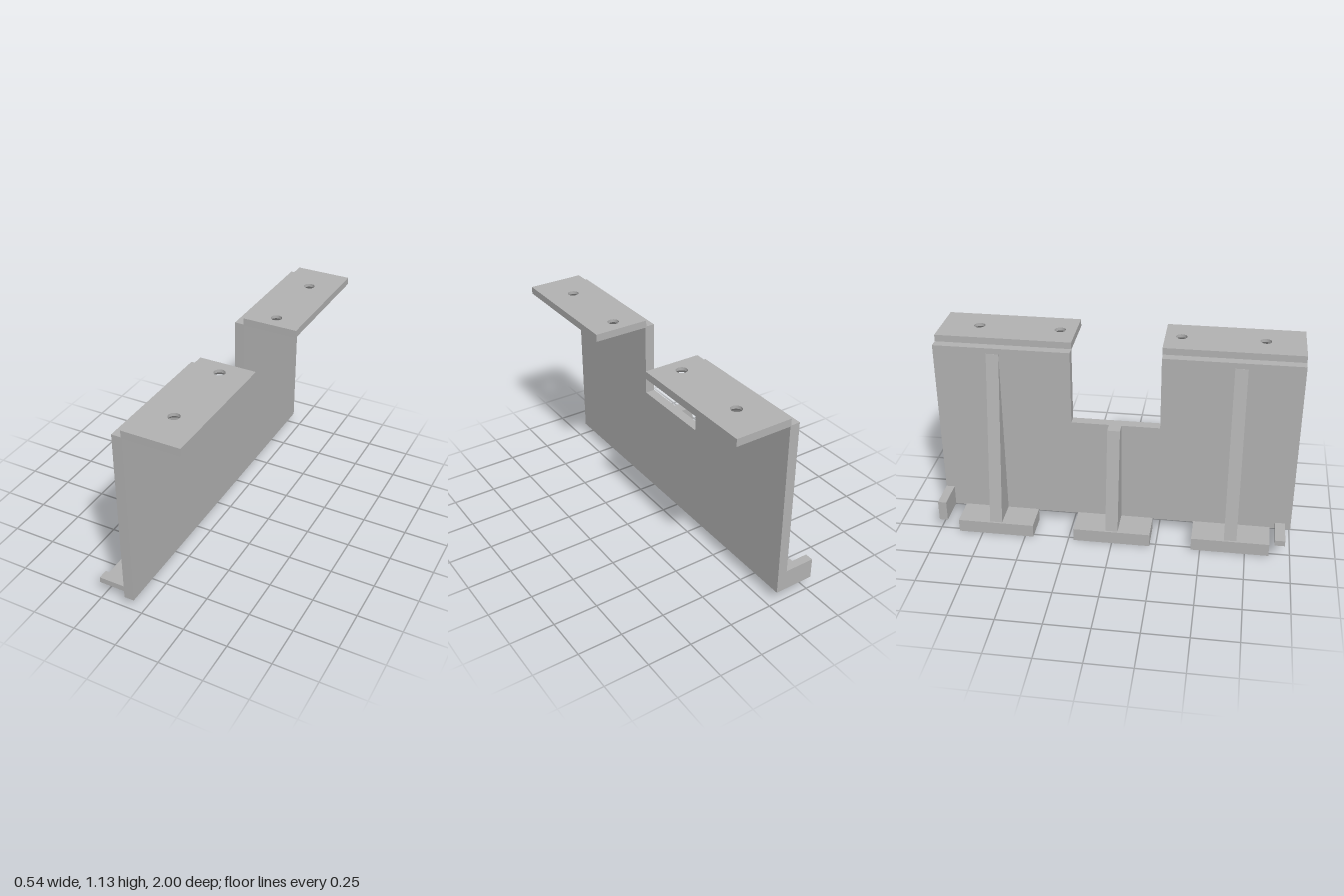
import * as THREE from 'three';

export function createModel() {
  const group = new THREE.Group();
  const grey = new THREE.MeshStandardMaterial({ color: 0xb2b2b2, side: THREE.DoubleSide });
  grey.name = 'grey';

  const add = (name, geometry) => {
    const mesh = new THREE.Mesh(geometry, grey);
    mesh.name = name;
    group.add(mesh);
    return mesh;
  };
  const box = (name, x0, x1, y0, y1, z0, z1) =>
    add(name, new THREE.BoxGeometry(x1 - x0, y1 - y0, z1 - z0))
      .position.set((x0 + x1) / 2, (y0 + y1) / 2, (z0 + z1) / 2);
  const polygon = (points) => new THREE.Shape(points.map(([x, y]) => new THREE.Vector2(x, y)));
  const extrude = (shape, depth) =>
    new THREE.ExtrudeGeometry(shape, { depth, bevelEnabled: false, curveSegments: 16 });

  const wallBack = -0.1, wallFront = -0.044, footBack = -0.272;
  const wallBase = 0.07, wallTop = 1.092, notchY = 0.672, notchZ = 0.246;
  const footTop = 0.075;

  // Upright wall with a notch in its top edge, drawn in (z, y)
  const wall = extrude(polygon([
    [-1, wallBase], [1, wallBase], [1, wallTop], [notchZ, wallTop],
    [notchZ, notchY], [-notchZ, notchY], [-notchZ, wallTop], [-1, wallTop],
  ]), wallFront - wallBack);
  wall.rotateY(-Math.PI / 2);
  add('wall', wall).position.x = wallFront;

  // Top plates with holes countersunk from below
  const plateBottom = 1.088, plateTop = 1.13, sinkDepth = 0.024;
  const holeR = 0.031, sinkR = 0.056, holeX = 0.111;
  const plateLayer = (z0, z1, holes, radius, y0, y1) => {
    const shape = polygon([[-0.048, -z1], [0.27, -z1], [0.27, -z0], [-0.048, -z0]]);
    for (const z of holes) {
      shape.holes.push(new THREE.Path().absarc(holeX, -z, radius, 0, Math.PI * 2, true));
    }
    const layer = extrude(shape, y1 - y0);
    layer.rotateX(-Math.PI / 2);
    add('topPlate', layer).position.y = y0;
  };
  const sinkTop = plateBottom + sinkDepth;
  for (const [z0, z1, holes] of [
    [-1, -notchZ, [-0.788, -0.335]],
    [notchZ - 0.003, 1, [0.332, 0.785]],
  ]) {
    plateLayer(z0, z1, holes, sinkR, plateBottom, sinkTop);
    plateLayer(z0, z1, holes, holeR, sinkTop, plateTop);
    for (const z of holes) {
      add('countersink', new THREE.CylinderGeometry(holeR, sinkR, sinkDepth, 32, 1, true))
        .position.set(holeX, plateBottom + sinkDepth / 2, z);
    }
  }

  // Feet, each carrying a tapered rib; the middle rib is cut off at the notch
  const ribX = (y) => -0.102 - (1.055 - y) * 0.1625;
  for (const z of [-0.67, -0.002, 0.666]) {
    box('foot', footBack, -0.098, 0, footTop, z - 0.217, z + 0.217);
    const top = Math.abs(z) < 0.1 ? notchY : 1.06;
    const rib = extrude(polygon([
      [ribX(footTop), footTop], [wallBack, footTop], [wallBack, top], [ribX(top), top],
    ]), 0.07);
    add('rib', rib).position.z = z - 0.035;
  }

  // End tabs
  box('tallTab', footBack, wallBack, wallBase, 0.189, -1, -0.952);
  box('thinTab', footBack, wallBack, footTop, 0.108, 0.911, 0.968);

  return group;
}
